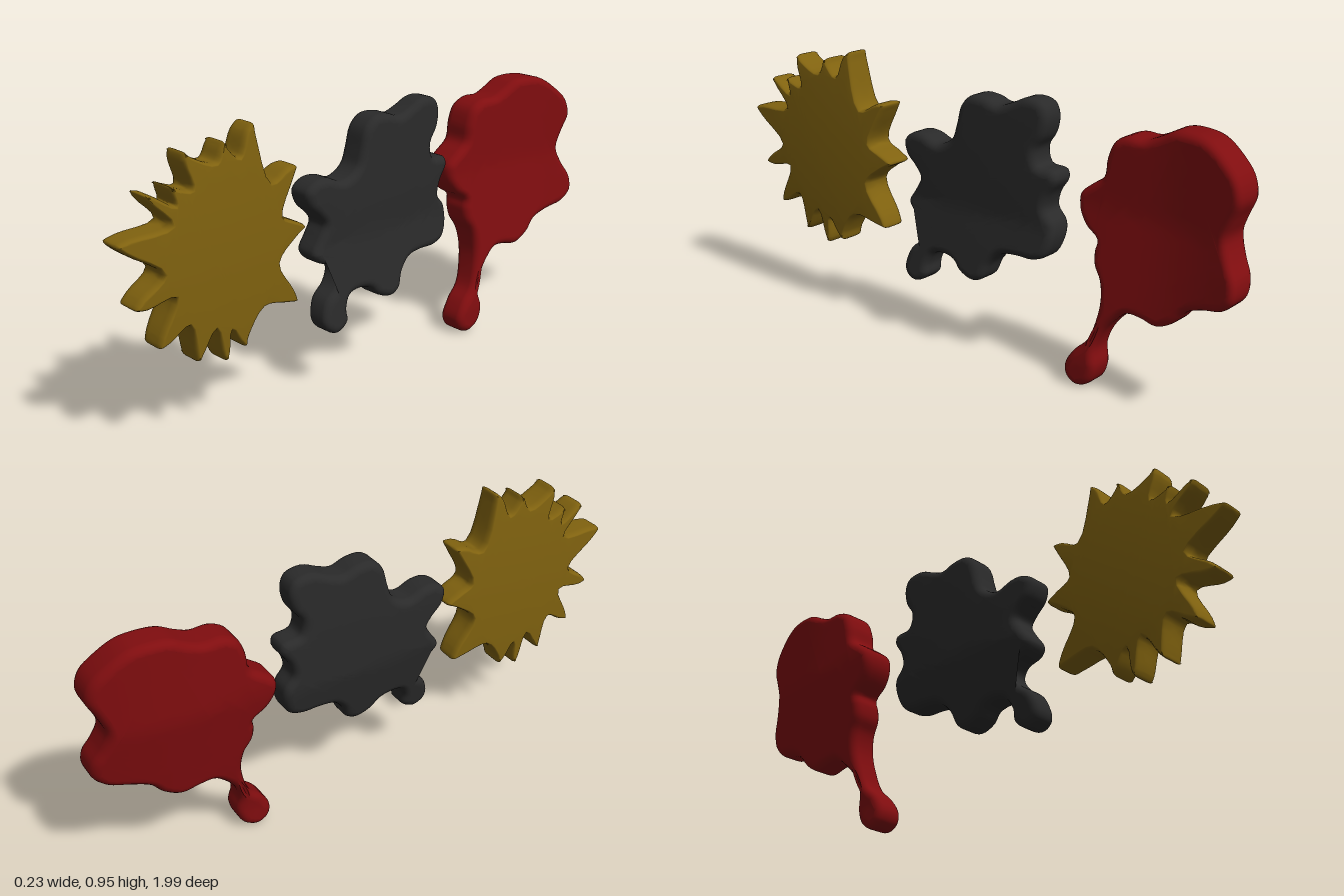
import * as THREE from 'three';
import { mergeVertices } from 'three/addons/utils/BufferGeometryUtils.js';

// Outlines are (z, y) pairs in hundredths of a unit.
const RED = [
  -79, 89, -85.5, 88, -92, 84, -97, 79, -98.5, 73, -96, 67, -94, 61, -96, 55, -99, 49.5, -99, 44, -95, 40,
  -88, 38, -82, 35.5, -78, 31, -72, 28, -66, 29, -61, 29, -57, 26, -53, 21, -51, 15, -52, 9, -50, 3.5,
  -45, 1, -41, 3, -40, 7, -43, 12.5, -47.5, 17, -50, 24, -51, 31, -50, 37, -47.5, 41.5, -47, 46,
  -47.5, 49.5, -43, 53, -40, 58, -40, 63, -44, 66.5, -48.5, 70, -49.5, 76, -52, 81.5, -57, 84, -63, 84,
  -68, 86, -73, 88.5,
];
const BLACK = [
  -22, 91, -28, 90, -30, 86, -29, 80, -26, 75, -27, 70, -33, 69, -34, 66, -31, 61, -30, 56, -33, 52,
  -33.5, 47, -31, 41, -26, 39, -20, 39, -14, 38, -10, 34, -8, 29, -4, 27, 2, 29, 5, 32, 10, 33, 14, 32,
  16, 28, 16, 24, 21, 21, 25, 23, 26, 26, 24, 32, 19, 36, 17, 40, 19, 43, 25, 45, 27, 48, 24, 53, 22, 57,
  24, 60, 28, 64, 29, 69, 25, 72, 20, 72, 14, 70, 8, 73, 6, 78, 4, 85, 0, 88.5, -6, 88.5, -11, 87, -16, 88.5,
];
// Spikes: tip z, tip y, half width, then the valley that follows.
const SPIKES = [
  [51.5, 96, 2, 46, 77], [35.5, 80, 2, 42, 65.5], [32.5, 60, 2.6, 43.5, 51], [36, 36, 2.4, 50, 38],
  [57, 27, 2, 62.5, 34], [64.5, 24.5, 1.3, 68.5, 36], [75, 27.5, 1.3, 78, 40], [88, 35.5, 2, 82.5, 50],
  [95.5, 49.5, 2, 86, 58], [100, 69.5, 2.3, 82.5, 72], [90, 82, 1.1, 81, 77.5], [82, 83, 1, 75, 81],
  [76.5, 92, 1.6, 66, 87], [62.5, 92.5, 1.2, 57.5, 87],
];

function spikeOutline(cz, cy) {
  const out = [];
  for (const [z, y, w, vz, vy] of SPIKES) {
    const d = Math.hypot(z - cz, y - cy), dz = (z - cz) / d, dy = (y - cy) / d;
    const back = 1.6 * w;
    out.push(z - dz * back - dy * w, y - dy * back + dz * w, z, y,
      z - dz * back + dy * w, y - dy * back - dz * w, vz, vy);
  }
  // keep the shoulder that faces the previous valley first
  for (let i = 0; i < out.length; i += 8) {
    const p = (i + out.length - 2) % out.length;
    const a = Math.hypot(out[i] - out[p], out[i + 1] - out[p + 1]);
    const b = Math.hypot(out[i + 4] - out[p], out[i + 5] - out[p + 1]);
    if (b < a) for (const k of [0, 1]) [out[i + k], out[i + 4 + k]] = [out[i + 4 + k], out[i + k]];
  }
  return out;
}

// Halve every edge longer than maxLen so that flat caps can bend smoothly.
function subdivide(geo, maxLen) {
  const p = geo.attributes.position, stack = [], out = [];
  for (let i = 0; i < p.count; i += 3)
    stack.push([0, 1, 2].map((k) => new THREE.Vector3().fromBufferAttribute(p, i + k)));
  while (stack.length) {
    const t = stack.pop();
    const len = [0, 1, 2].map((k) => t[k].distanceTo(t[(k + 1) % 3]));
    const k = len.indexOf(Math.max(...len));
    if (len[k] <= maxLen) { for (const v of t) out.push(v.x, v.y, v.z); continue; }
    const a = t[k], b = t[(k + 1) % 3], c = t[(k + 2) % 3];
    const m = a.clone().add(b).multiplyScalar(0.5);
    stack.push([a, m, c], [m, b, c]);
  }
  return new THREE.BufferGeometry().setAttribute('position', new THREE.Float32BufferAttribute(out, 3));
}

// A rounded slab facing +x, bent by centre(z, y) and thickened by half(z, y).
function splat(name, outline, round, samples, material, centre, half) {
  const pts = [];
  for (let i = 0; i < outline.length; i += 2)
    pts.push(new THREE.Vector3(-outline[i] / 100, outline[i + 1] / 100, 0));
  const curve = new THREE.CatmullRomCurve3(pts, true, 'centripetal');
  const n = pts.length * samples;
  const shape = new THREE.Shape();
  for (let i = 0; i < n; i++) {
    const v = curve.getPoint(i / n);
    if (i) shape.lineTo(v.x, v.y); else shape.moveTo(v.x, v.y);
  }
  let geo = new THREE.ExtrudeGeometry(shape, {
    depth: 1, steps: 1, bevelEnabled: true, bevelThickness: 0.5,
    bevelSize: round, bevelOffset: -round, bevelSegments: 5,
  });
  geo.translate(0, 0, -0.5).scale(1, 1, 0.06).rotateY(Math.PI / 2);
  geo = subdivide(geo.index ? geo.toNonIndexed() : geo, 0.06);
  const p = geo.attributes.position;
  for (let i = 0; i < p.count; i++) {
    const y = p.getY(i), z = p.getZ(i);
    p.setX(i, centre(z, y) + (p.getX(i) / 0.06) * half(z, y));
  }
  geo = mergeVertices(geo, 1e-5);
  geo.computeVertexNormals();
  const mesh = new THREE.Mesh(geo, material);
  mesh.name = name;
  return mesh;
}

function flat(name, color) {
  const m = new THREE.MeshStandardMaterial({ color });
  m.name = name;
  return m;
}

export function createModel() {
  const group = new THREE.Group();
  group.name = 'paintSplats';
  const clamp = THREE.MathUtils.clamp;

  // spiky splat, thickest in the middle
  group.add(splat('spikySplat', spikeOutline(65, 60), 0.009, 4, flat('gold', 0x80620f),
    (z) => 0.053 + 0.02 * (z - 0.65),
    (z, y) => 0.06 - 0.016 * clamp(Math.hypot(z - 0.65, y - 0.6) / 0.38, 0, 1) ** 2));

  // lobed splat whose lower drip leans out
  group.add(splat('lobedSplat', BLACK, 0.026, 4, flat('black', 0x2a2a2a),
    (z, y) => 0.01 + 0.02 * z + 0.052 * clamp((0.5 - y) / 0.28, 0, 1),
    (z, y) => 0.058 - 0.01 * clamp(Math.hypot(z, y - 0.6) / 0.4, 0, 1) ** 2));

  // dripping splat, curved along both axes
  group.add(splat('drippingSplat', RED, 0.026, 4, flat('red', 0x800d0f),
    (z, y) => -0.055 + 0.055 * clamp((-0.65 - z) / 0.35, 0, 1) ** 2
      + 0.075 * clamp((0.6 - y) / 0.5, 0, 1),
    (z, y) => 0.052 + 0.012 * clamp((y - 0.2) / 0.4, 0, 1)));

  return group;
}
